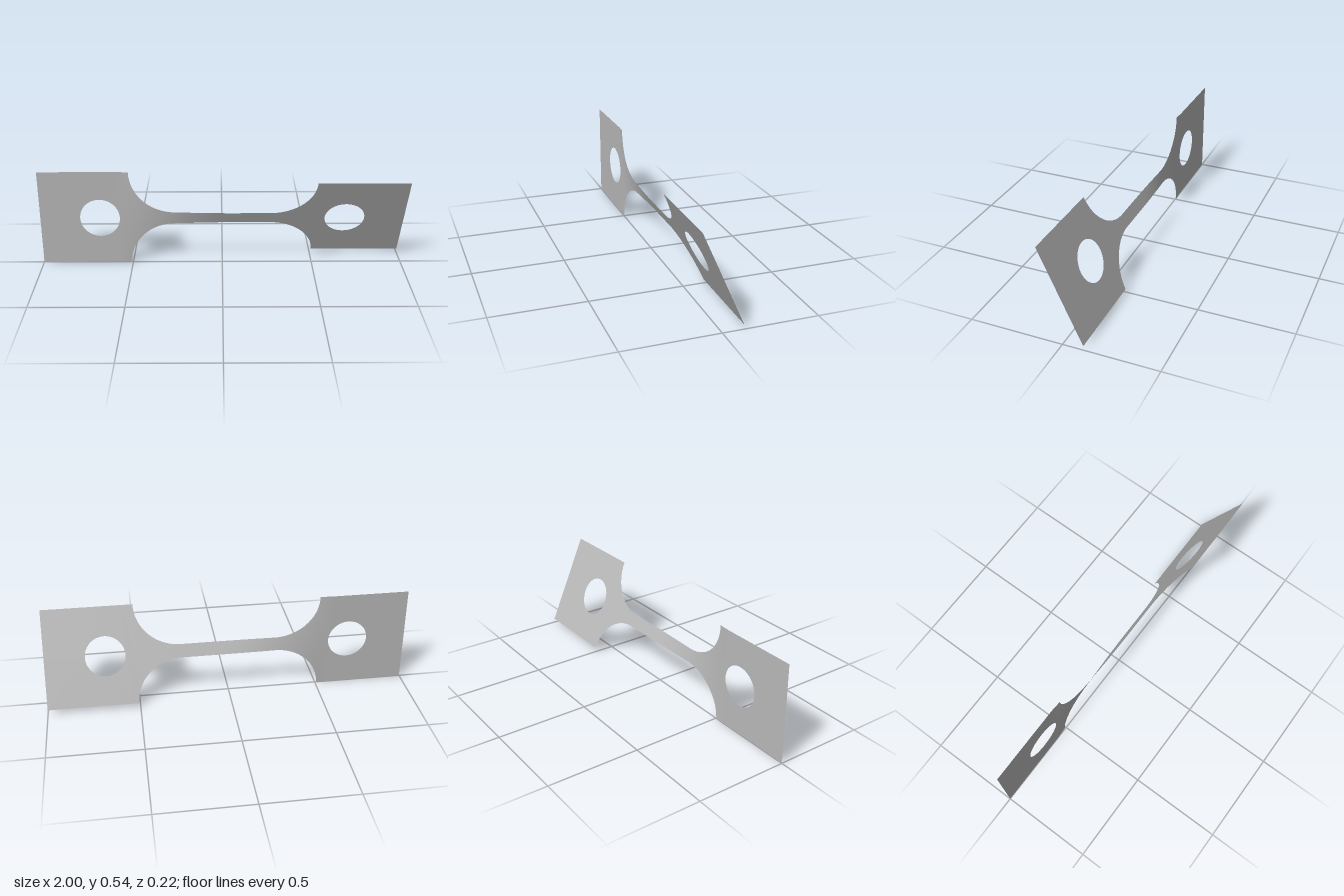
import * as THREE from 'three';

const HALF = 0.271;           // half height of the end plates
const NECK = 0.037;           // half height of the neck
const PLATE_X = 0.507;        // inner edge of the end plates
const FILLET_X = 0.262;       // where the fillets meet the neck
const HOLE_X = 0.672, HOLE_R = 0.109;
const TWIST = THREE.MathUtils.degToRad(24);
const TWIST_FROM = -0.58, TWIST_TO = 0.06;

// Twist angle of the sheet about its long axis, and its slope along x
function twistAt(x) {
  const span = TWIST_TO - TWIST_FROM;
  const t = THREE.MathUtils.clamp((x - TWIST_FROM) / span, 0, 1);
  return { angle: TWIST * t * t * (3 - 2 * t), slope: TWIST * 6 * t * (1 - t) / span };
}

// Half height of the outline: plate, elliptical fillet, neck
function outerAt(x) {
  const a = Math.abs(x);
  if (a >= PLATE_X) return HALF;
  if (a <= FILLET_X) return NECK;
  const k = (a - FILLET_X) / (PLATE_X - FILLET_X);
  return HALF - (HALF - NECK) * Math.sqrt(1 - k * k);
}

// Half height of the hole, zero away from it
function innerAt(x) {
  const d = Math.abs(x) - HOLE_X;
  return Math.sqrt(Math.max(0, HOLE_R * HOLE_R - d * d));
}

// Two mirrored strips between the hole edge and the outline, bent by the twist
function sheet(xs) {
  const position = [], normal = [], index = [];
  for (const side of [1, -1]) {
    const start = position.length / 3;
    xs.forEach((x, i) => {
      const { angle, slope } = twistAt(x);
      const s = Math.sin(angle), c = Math.cos(angle);
      for (const h of [innerAt(x), outerAt(x)]) {
        const v = side * h;
        position.push(x, HALF + v * c, v * s);
        const n = new THREE.Vector3(-v * slope, -s, c).normalize();
        normal.push(n.x, n.y, n.z);
      }
      if (i === 0) return;
      const b = start + 2 * i, a = b - 2;
      if (side > 0) index.push(a, b, b + 1, a, b + 1, a + 1);
      else index.push(a, b + 1, b, a, a + 1, b + 1);
    });
  }
  const geometry = new THREE.BufferGeometry();
  geometry.setAttribute('position', new THREE.Float32BufferAttribute(position, 3));
  geometry.setAttribute('normal', new THREE.Float32BufferAttribute(normal, 3));
  geometry.setIndex(index);
  return geometry;
}

// Evenly spaced or arc spaced stations along x
const steps = (n, f) => Array.from({ length: n + 1 }, (_, i) => f(i / n));

export function createModel() {
  const group = new THREE.Group();
  group.name = 'twistedSheetSpecimen';
  const metal = new THREE.MeshStandardMaterial({ color: 0xb8b8b8, side: THREE.DoubleSide });
  metal.name = 'grey metal';

  const add = (name, xs) => {
    const mesh = new THREE.Mesh(sheet(xs), metal);
    mesh.name = name;
    group.add(mesh);
  };

  // End plates, with stations crowded towards the hole's ends
  const plate = [PLATE_X, ...steps(32, t => HOLE_X - HOLE_R * Math.cos(Math.PI * t)), 1];
  const mirrored = list => list.map(x => -x).reverse();
  add('leftEndPlate', plate);
  add('rightEndPlate', mirrored(plate));

  // Neck with a fillet at each end
  const fillet = steps(24, t => FILLET_X + (PLATE_X - FILLET_X) * Math.sin(t * Math.PI / 2));
  const bar = steps(32, t => FILLET_X * (2 * t - 1)).slice(1, -1);
  add('twistedNeck', [...mirrored(fillet), ...bar, ...fillet]);

  return group;
}
